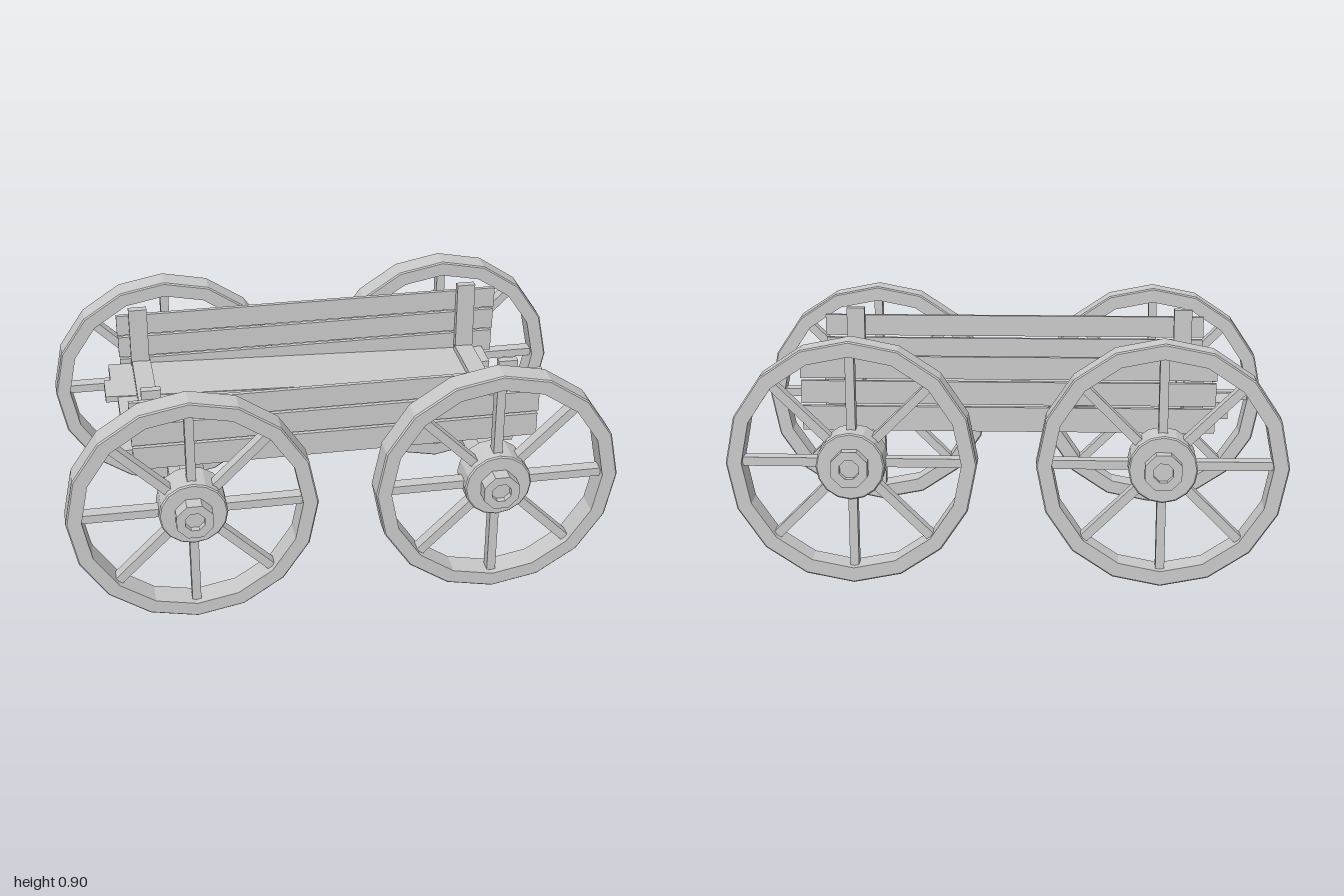
import * as THREE from 'three';

const material = new THREE.MeshStandardMaterial({ color: 0xcccccc, flatShading: true });

function add(parent, name, geometry, x = 0, y = 0, z = 0) {
  const mesh = new THREE.Mesh(geometry, material);
  mesh.name = name;
  mesh.position.set(x, y, z);
  parent.add(mesh);
  return mesh;
}

// Faceted lathe whose axis lies along z
function latheZ(points, sides, phase = 0) {
  const profile = points.map(([r, z]) => new THREE.Vector2(r, z));
  return new THREE.LatheGeometry(profile, sides, phase).rotateX(Math.PI / 2).scale(1, 1, 1);
}

// Cross bar with a slightly raised middle
function bowedBar(w, h, d, bow) {
  const geometry = new THREE.BoxGeometry(w, h, d, 1, 1, 4);
  const p = geometry.attributes.position;
  for (let i = 0; i < p.count; i++) {
    p.setY(i, p.getY(i) + bow * (1 - Math.abs(p.getZ(i)) / (d / 2)));
  }
  geometry.computeVertexNormals();
  return geometry;
}

function makeWheel() {
  const wheel = new THREE.Group();
  const R = 0.448, r = 0.392, h = 0.047, c = 0.005;
  add(wheel, 'rim', latheZ([
    [r, -h], [R - c, -h], [R, -h + c], [R, h - c], [R - c, h], [r, h], [r, -h],
  ], 16));
  add(wheel, 'hub', latheZ([
    [0, -0.075], [0.118, -0.075], [0.123, -0.07], [0.123, 0.047], [0.118, 0.052], [0, 0.052],
  ], 16));
  for (let i = 0; i < 8; i++) {
    const spoke = add(wheel, 'spoke', new THREE.BoxGeometry(0.032, 0.3, 0.045).translate(0, 0.25, 0));
    spoke.rotation.z = (i * Math.PI) / 4;
  }
  return wheel;
}

function makeAxle() {
  // Octagonal beam with a waist and a recess in each end
  const half = [[0, 0.555], [0.037, 0.555], [0.037, 0.577], [0.07, 0.577], [0.07, 0.19], [0.054, 0.13]];
  const lower = half.map(([r, z]) => [r, -z]);
  return latheZ([...lower, ...half.reverse()], 8, Math.PI / 8);
}

export function createModel() {
  const cart = new THREE.Group();
  cart.name = 'cart';
  const axleY = 0.448;

  // Running gear
  for (const x of [-0.552, 0.552]) {
    add(cart, 'axle', makeAxle(), x, axleY, 0);
    for (const z of [-0.465, 0.475]) {
      const wheel = makeWheel();
      wheel.name = 'wheel';
      wheel.position.set(x, axleY, z);
      cart.add(wheel);
    }
  }

  // Floor, sloping down towards +x
  const bed = new THREE.Group();
  bed.name = 'floor';
  bed.position.set(-0.02, 0.564, -0.015);
  bed.rotation.z = -0.036;
  cart.add(bed);
  const boardEnds = [[-0.79, 0.705], [-0.815, 0.66], [-0.77, 0.67], [-0.77, 0.725], [-0.79, 0.705]];
  boardEnds.forEach(([x0, x1], i) => {
    add(bed, 'floorBoard', new THREE.BoxGeometry(x1 - x0, 0.024, 0.128),
      (x0 + x1) / 2 + 0.02, (i % 2) * 0.002, (i - 2) * 0.13);
  });
  for (const x of [-0.643, 0.643]) {
    add(bed, 'upperCrossBar', bowedBar(0.072, 0.022, 0.62, 0.01), x, 0.022, 0);
    add(bed, 'lowerCrossBar', new THREE.BoxGeometry(0.072, 0.02, 0.66), x, -0.024, 0);
  }

  // Side walls: three planks on two posts each
  const planks = [[0.53, 0.62, 1.485], [0.63, 0.714, 1.49], [0.724, 0.806, 1.495]];
  for (const side of [-1, 1]) {
    const wall = new THREE.Group();
    wall.name = side > 0 ? 'frontWall' : 'backWall';
    wall.position.z = -0.014;
    cart.add(wall);
    for (const [y0, y1, length] of planks) {
      add(wall, 'sidePlank', new THREE.BoxGeometry(length, y1 - y0, 0.016), 0, (y0 + y1) / 2, side * 0.336);
    }
    for (const x of [-0.665, 0.625]) {
      add(wall, 'post', new THREE.BoxGeometry(0.07, 0.31, 0.028), x, 0.685, side * 0.314);
    }
  }
  return cart;
}
